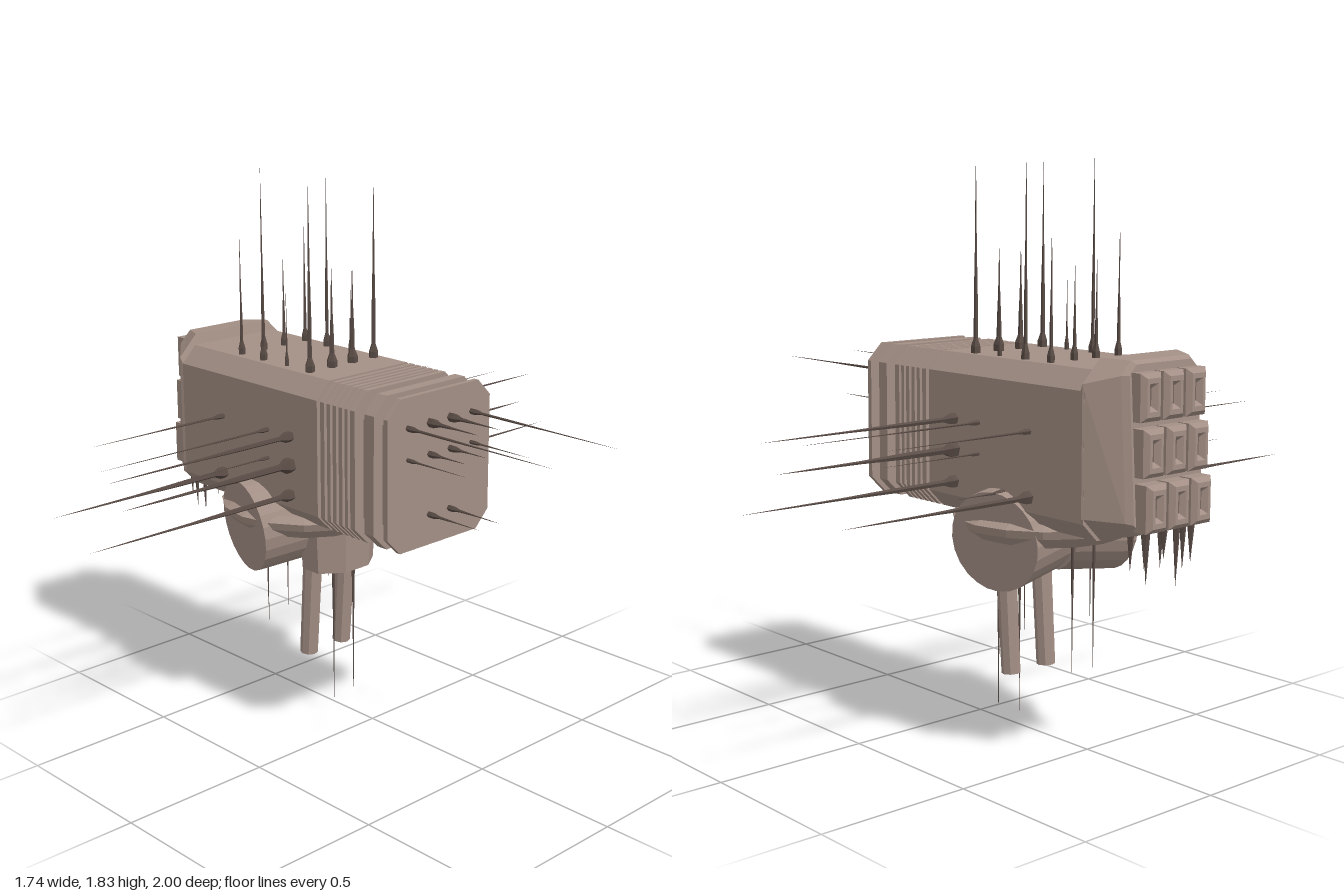
import * as THREE from 'three';

const hull = new THREE.MeshStandardMaterial({ color: 0xa38f85, flatShading: true });
const dark = new THREE.MeshStandardMaterial({ color: 0x5a4c46, flatShading: true });
const glass = new THREE.MeshStandardMaterial({ color: 0x70406e, flatShading: true });

// Chamfered rectangle in the zy plane; tilt leans its foot towards -x
function section(x, yb, yt, hz, c, tilt = 0) {
  return [
    [-hz, yb + c], [-hz, yt - c], [-hz + c, yt], [hz - c, yt],
    [hz, yt - c], [hz, yb + c], [hz - c, yb], [-hz + c, yb],
  ].map(([z, y]) => [x - tilt * (yt - y), y, z]);
}

// Closed skin through sections ordered from -x to +x
function loft(sections) {
  const n = sections[0].length, pos = [];
  const tri = (a, b, c) => pos.push(...a, ...b, ...c);
  for (let i = 0; i < sections.length - 1; i++) {
    for (let j = 0; j < n; j++) {
      const k = (j + 1) % n, s = sections[i], t = sections[i + 1];
      tri(s[j], s[k], t[k]);
      tri(s[j], t[k], t[j]);
    }
  }
  const first = sections[0], last = sections[sections.length - 1];
  for (let j = 1; j < n - 1; j++) {
    tri(first[0], first[j + 1], first[j]);
    tri(last[0], last[j], last[j + 1]);
  }
  const g = new THREE.BufferGeometry();
  g.setAttribute('position', new THREE.Float32BufferAttribute(pos, 3));
  g.computeVertexNormals();
  return g;
}

function add(parent, name, geometry, material = hull) {
  const mesh = new THREE.Mesh(geometry, material);
  mesh.name = name;
  parent.add(mesh);
  return mesh;
}

// Cylinder between two points
function rod(parent, name, from, to, r0, r1, sides) {
  const a = new THREE.Vector3(...from), b = new THREE.Vector3(...to);
  const dir = b.clone().sub(a);
  const mesh = add(parent, name, new THREE.CylinderGeometry(r1, r0, dir.length(), sides));
  mesh.position.copy(a).add(b).multiplyScalar(0.5);
  mesh.quaternion.setFromUnitVectors(new THREE.Vector3(0, 1, 0), dir.normalize());
  return mesh;
}

// Antenna: a small foot, a thin mast and a needle tip
function antenna(parent, from, to, r) {
  const a = new THREE.Vector3(...from), dir = new THREE.Vector3(...to).sub(a);
  const L = dir.length();
  const profile = [
    [r, -0.01], [r, 0.02], [r * 0.45, 0.045], [r * 0.4, L * 0.3],
    [r * 0.2, L * 0.55], [r * 0.12, L * 0.8], [0, L],
  ].map(([x, y]) => new THREE.Vector2(x, y));
  const mesh = add(parent, 'antenna', new THREE.LatheGeometry(profile, 5), dark);
  mesh.position.copy(a);
  mesh.quaternion.setFromUnitVectors(new THREE.Vector3(0, 1, 0), dir.normalize());
}

export function createModel() {
  const model = new THREE.Group();
  model.name = 'sensorTurret';

  // Main housing
  add(model, 'housing', loft([section(-0.7, 0.715, 1.205, 0.225, 0.055), section(-0.015, 0.715, 1.205, 0.225, 0.055)]));

  // Ribbed rear: a core that steps in, with cooling fins around it
  add(model, 'ribCore', loft([section(-0.02, 0.735, 1.185, 0.208, 0.055), section(0.15, 0.735, 1.185, 0.208, 0.055)]));
  add(model, 'rearCore', loft([section(0.14, 0.752, 1.168, 0.188, 0.05), section(0.285, 0.752, 1.168, 0.188, 0.05)]));
  const fins = [[0, 0.018], [0.03, 0.045], [0.056, 0.072], [0.083, 0.099], [0.11, 0.123], [0.134, 0.155], [0.198, 0.238], [0.28, 0.297]];
  for (const [a, b] of fins) {
    add(model, 'coolingFin', loft([section(a, 0.715, 1.205, 0.225, 0.055), section(b, 0.715, 1.205, 0.225, 0.055)]));
  }

  // Tapered head with a leaning front
  add(model, 'head', loft([
    section(-0.792, 0.745, 1.225, 0.142, 0.03, 0.06),
    section(-0.775, 0.74, 1.235, 0.16, 0.04, 0.06),
    section(-0.695, 0.715, 1.24, 0.228, 0.07),
    section(-0.685, 0.715, 1.205, 0.225, 0.055),
  ]));

  // Three by three lens blocks, each a bevelled frame around a lens
  const frame = new THREE.Shape([[-0.027, -0.055], [0.027, -0.055], [0.027, 0.055], [-0.027, 0.055]].map(p => new THREE.Vector2(...p)));
  frame.holes.push(new THREE.Path([[-0.017, -0.04], [-0.017, 0.04], [0.017, 0.04], [0.017, -0.04]].map(p => new THREE.Vector2(...p))));
  const frameGeo = new THREE.ExtrudeGeometry(frame, { depth: 0.05, bevelEnabled: true, bevelThickness: 0.014, bevelSize: 0.014, bevelOffset: 0, bevelSegments: 1 });
  const lensGeo = new THREE.BoxGeometry(0.036, 0.082, 0.04);
  for (let row = 0; row < 3; row++) {
    for (let col = -1; col <= 1; col++) {
      const block = new THREE.Group();
      block.name = 'lensBlock';
      block.position.set(-0.778 - row * 0.014, 1.135 - row * 0.156, col * 0.093);
      block.rotation.set(0, -Math.PI / 2, 0);
      add(block, 'lensFrame', frameGeo);
      add(block, 'lens', lensGeo, glass).position.z = 0.02;
      model.add(block);
    }
  }

  // Needles hanging under the head
  for (const [x, z, tip] of [[-0.82, -0.1, 0.64], [-0.79, -0.06, 0.58], [-0.82, -0.02, 0.66], [-0.77, 0.02, 0.62], [-0.795, 0.06, 0.56], [-0.815, 0.1, 0.63], [-0.775, -0.11, 0.63], [-0.775, 0.11, 0.6]]) {
    const needle = add(model, 'needle', new THREE.ConeGeometry(0.013, 0.76 - tip, 5), dark);
    needle.rotation.x = Math.PI;
    needle.position.set(x, (0.76 + tip) / 2, z);
  }

  // Round swivel plate and the hub beneath it
  const plate = [[0, 0.735], [0.26, 0.73], [0.293, 0.715], [0.285, 0.69], [0.25, 0.657], [0, 0.657]];
  const swivel = add(model, 'swivelPlate', new THREE.LatheGeometry(plate.reverse().map(p => new THREE.Vector2(...p)), 16));
  swivel.position.x = -0.31;
  const hub = add(model, 'hub', new THREE.CylinderGeometry(0.108, 0.1, 0.17, 8).rotateY(Math.PI / 8));
  hub.scale.z = 1.35;
  hub.position.set(-0.165, 0.605, 0);

  for (const s of [-1, 1]) {
    // Side drum, splayed outward and forward
    rod(model, 'sideDrum', [-0.3, 0.685, s * 0.05], [-0.35, 0.663, s * 0.25], 0.158, 0.155, 24);
    // Barrel
    rod(model, 'barrel', [-0.207, 0.56, s * 0.075], [-0.233, 0.197, s * 0.075], 0.032, 0.03, 8);

    // Roof antennas: x, z, tip height, foot radius
    for (const [x, z, tip, r] of [
      [-0.475, 0.14, 1.6, 0.012], [-0.475, 0.045, 1.5, 0.012], [-0.365, 0.14, 1.83, 0.013],
      [-0.25, 0.14, 1.44, 0.007], [-0.14, 0.14, 1.8, 0.016], [-0.14, 0.045, 1.53, 0.018],
    ]) antenna(model, [x, 1.205, s * z], [x, tip, s * z], r);

    // Flank antennas: x, y, reach, foot radius
    for (const [x, y, tip, r] of [
      [-0.475, 1.01, 0.75, 0.009], [-0.475, 0.815, 0.9, 0.02], [-0.365, 0.815, 0.42, 0.009], [-0.25, 1.01, 0.88, 0.008],
      [-0.25, 0.915, 0.6, 0.006], [-0.14, 1.01, 0.93, 0.018], [-0.14, 0.915, 0.88, 0.026], [-0.14, 0.815, 1.0, 0.02],
    ]) antenna(model, [x, y, s * 0.225], [x, y, s * tip], r);

    // Belly antennas
    for (const [x, z, tip, r] of [[-0.475, 0.045, 0.22, 0.012], [-0.365, 0.14, 0.35, 0.01], [-0.14, 0.045, 0, 0.015]]) {
      antenna(model, [x, 0.715, s * z], [x, tip, s * z], r);
    }

    // Rear antennas: y, z, reach, foot radius
    for (const [y, z, tip, r] of [
      [1.11, 0.14, 0.87, 0.01], [1.11, 0.045, 0.5, 0.015], [1.01, 0.14, 0.54, 0.007],
      [1.01, 0.045, 0.45, 0.011], [0.815, 0.045, 0.51, 0.01],
    ]) antenna(model, [0.297, y, s * z], [tip, y, s * z], r);
  }

  return model;
}
